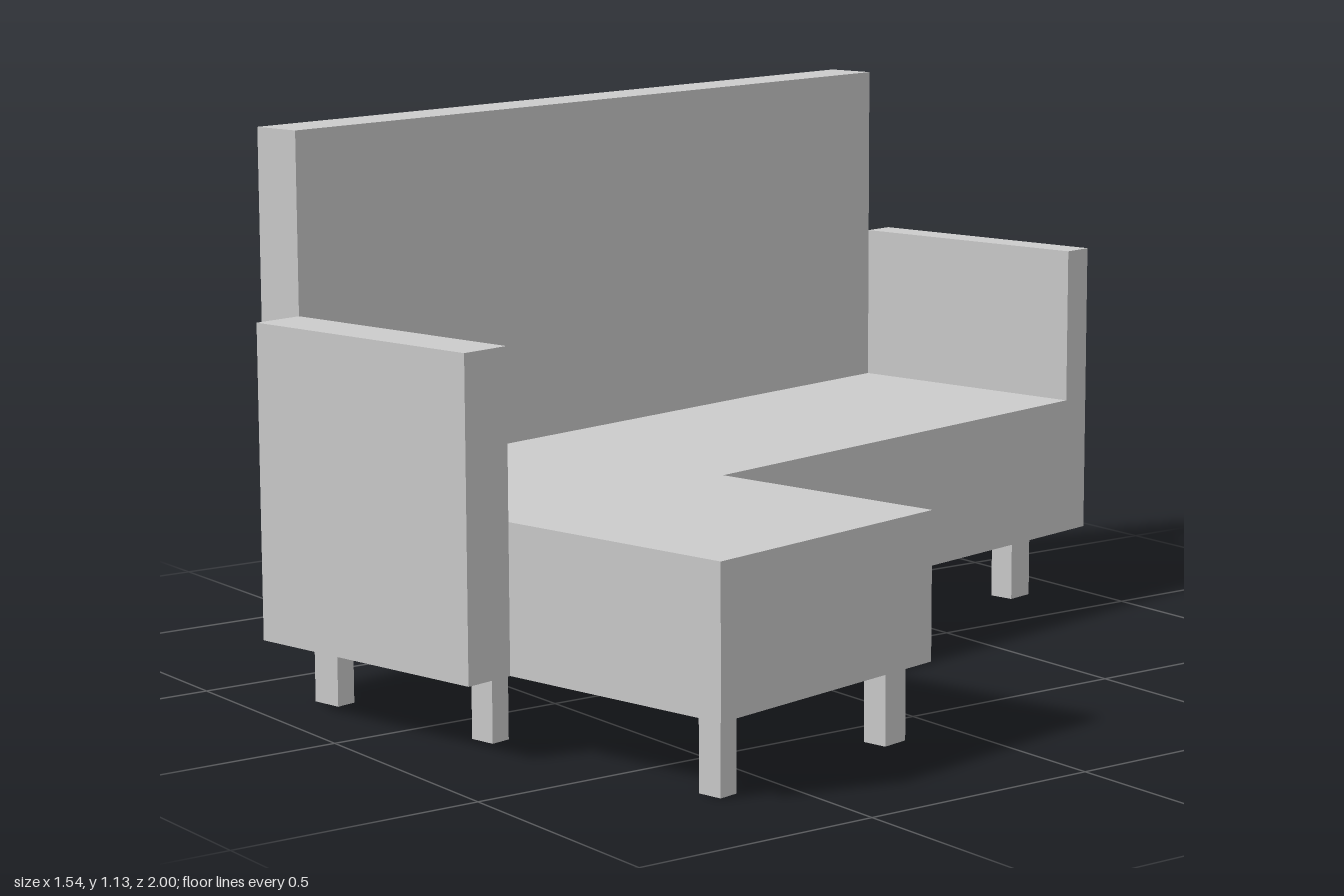
import * as THREE from 'three';

const material = new THREE.MeshStandardMaterial({ color: 0xcccccc, flatShading: true });

// Heights
const BASE = 0.147, SEAT = 0.44, ARM = 0.77, BACK = 1.13;

// Box given by its limits on each axis
function box(name, [x0, x1], [y0, y1], [z0, z1]) {
  const mesh = new THREE.Mesh(new THREE.BoxGeometry(x1 - x0, y1 - y0, z1 - z0), material);
  mesh.position.set((x0 + x1) / 2, (y0 + y1) / 2, (z0 + z1) / 2);
  mesh.name = name;
  return mesh;
}

export function createModel() {
  const sofa = new THREE.Group();
  sofa.name = 'cornerSofa';

  // L-shaped seat with the chaise at one end
  const outline = [
    [-0.477, -0.936], [0.085, -0.936], [0.085, 0.204],
    [0.609, 0.204], [0.609, 0.806], [-0.477, 0.806],
  ].map(([x, z]) => new THREE.Vector2(x, -z));
  const seatGeometry = new THREE.ExtrudeGeometry(new THREE.Shape(outline), {
    depth: SEAT - BASE, bevelEnabled: false,
  });
  seatGeometry.rotateX(-Math.PI / 2);
  const seat = new THREE.Mesh(seatGeometry, material);
  seat.position.y = BASE;
  seat.name = 'seat';
  sofa.add(seat);

  // Backrest and the two armrests
  sofa.add(box('backrest', [-0.585, -0.477], [BASE, BACK], [-0.936, 0.806]));
  sofa.add(box('farArmrest', [-0.477, 0.085], [BASE, ARM], [-1.007, -0.936]));
  sofa.add(box('nearArmrest', [-0.477, 0.085], [BASE, ARM], [0.806, 0.915]));

  // Legs on a grid of [centre, width], none beyond the seat's inner corner
  const columns = [[-0.443, 0.065], [-0.012, 0.055], [0.563, 0.052]];
  const rows = [[-0.868, 0.064], [0.286, 0.06], [0.763, 0.043]];
  columns.forEach(([x, w], i) => rows.forEach(([z, d], j) => {
    if (i === 2 && j === 0) return;
    sofa.add(box('leg', [x - w / 2, x + w / 2], [0, BASE], [z - d / 2, z + d / 2]));
  }));

  // The whole sofa stands slightly turned
  sofa.rotation.y = 0.2146;
  const model = new THREE.Group();
  model.add(sofa);
  return model;
}
